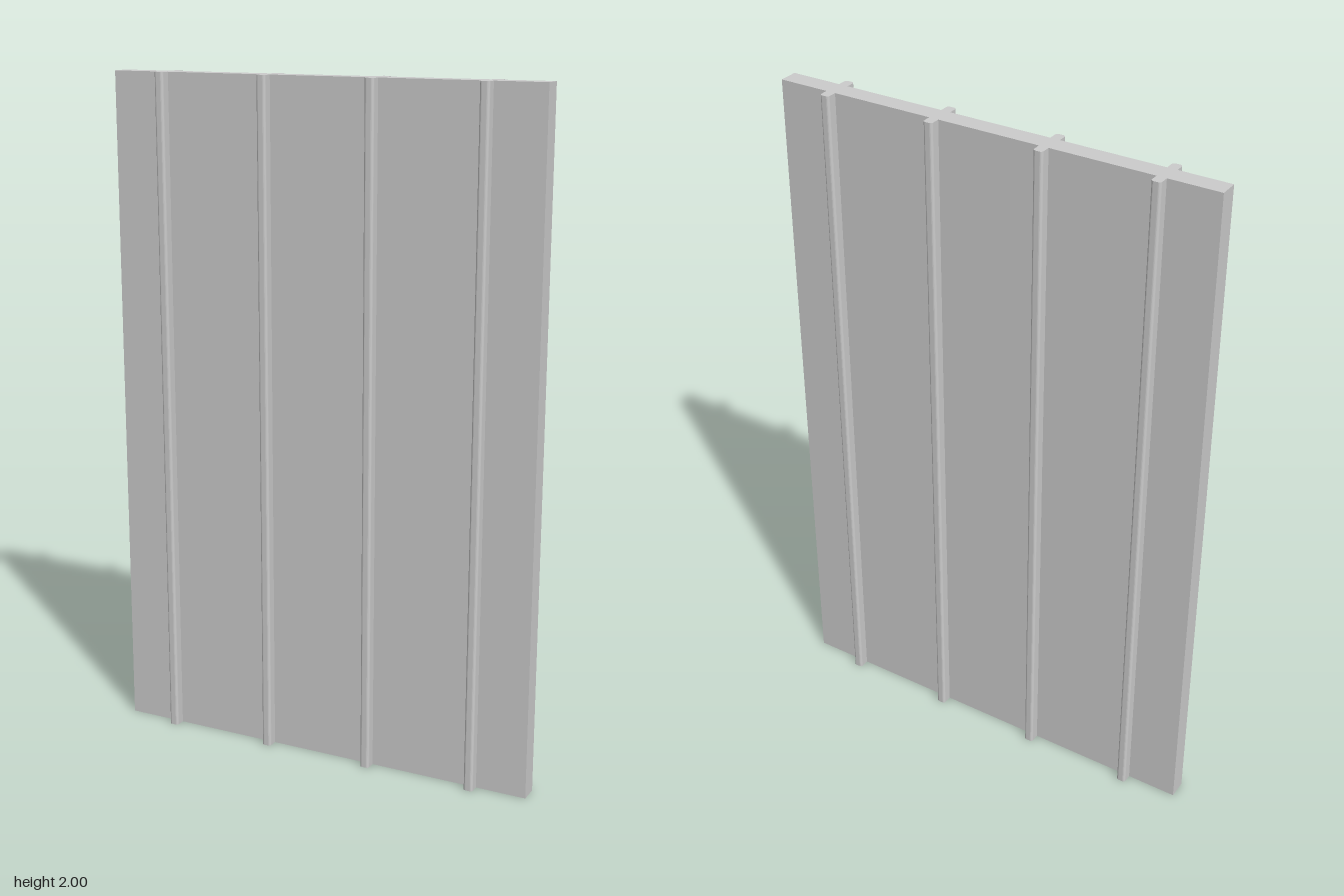
import * as THREE from 'three';

const HEIGHT = 2;
const WIDTH = 1.32;
const HALF_DEPTH = 0.028; // half thickness of the flat panel
const RIB_DEPTH = 0.059; // how far the ribs reach from the middle plane
const RIB_HALF = 0.014;
const RIB_ROUND = 0.008;
const RIB_COUNT = 4;

// Rib cross-section with rounded outer corners, extruded upwards
function ribGeometry() {
  const w = RIB_HALF, r = RIB_ROUND;
  const s = new THREE.Shape();
  s.moveTo(-w, HALF_DEPTH);
  s.lineTo(w, HALF_DEPTH);
  s.lineTo(w, RIB_DEPTH - r);
  s.absarc(w - r, RIB_DEPTH - r, r, 0, Math.PI / 2, false);
  s.absarc(-w + r, RIB_DEPTH - r, r, Math.PI / 2, Math.PI, false);
  s.closePath();
  const g = new THREE.ExtrudeGeometry(s, { depth: HEIGHT, bevelEnabled: false, curveSegments: 4 });
  return g.rotateX(-Math.PI / 2);
}

export function createModel() {
  const model = new THREE.Group();
  model.name = 'ribbedPanel';
  const material = new THREE.MeshStandardMaterial({ color: 0xcccccc });

  // Flat panel
  const panel = new THREE.Mesh(new THREE.BoxGeometry(WIDTH, HEIGHT, HALF_DEPTH * 2), material);
  panel.name = 'panel';
  panel.position.y = HEIGHT / 2;
  model.add(panel);

  // Evenly spaced vertical ribs on both faces
  const geometry = ribGeometry();
  const spacing = WIDTH / RIB_COUNT;
  for (let i = 0; i < RIB_COUNT; i++) {
    const x = (i - (RIB_COUNT - 1) / 2) * spacing;
    for (const [name, turn] of [['backRib', 0], ['frontRib', Math.PI]]) {
      const rib = new THREE.Mesh(geometry, material);
      rib.name = name + (i + 1);
      rib.position.x = x;
      rib.rotation.y = turn;
      model.add(rib);
    }
  }
  return model;
}
